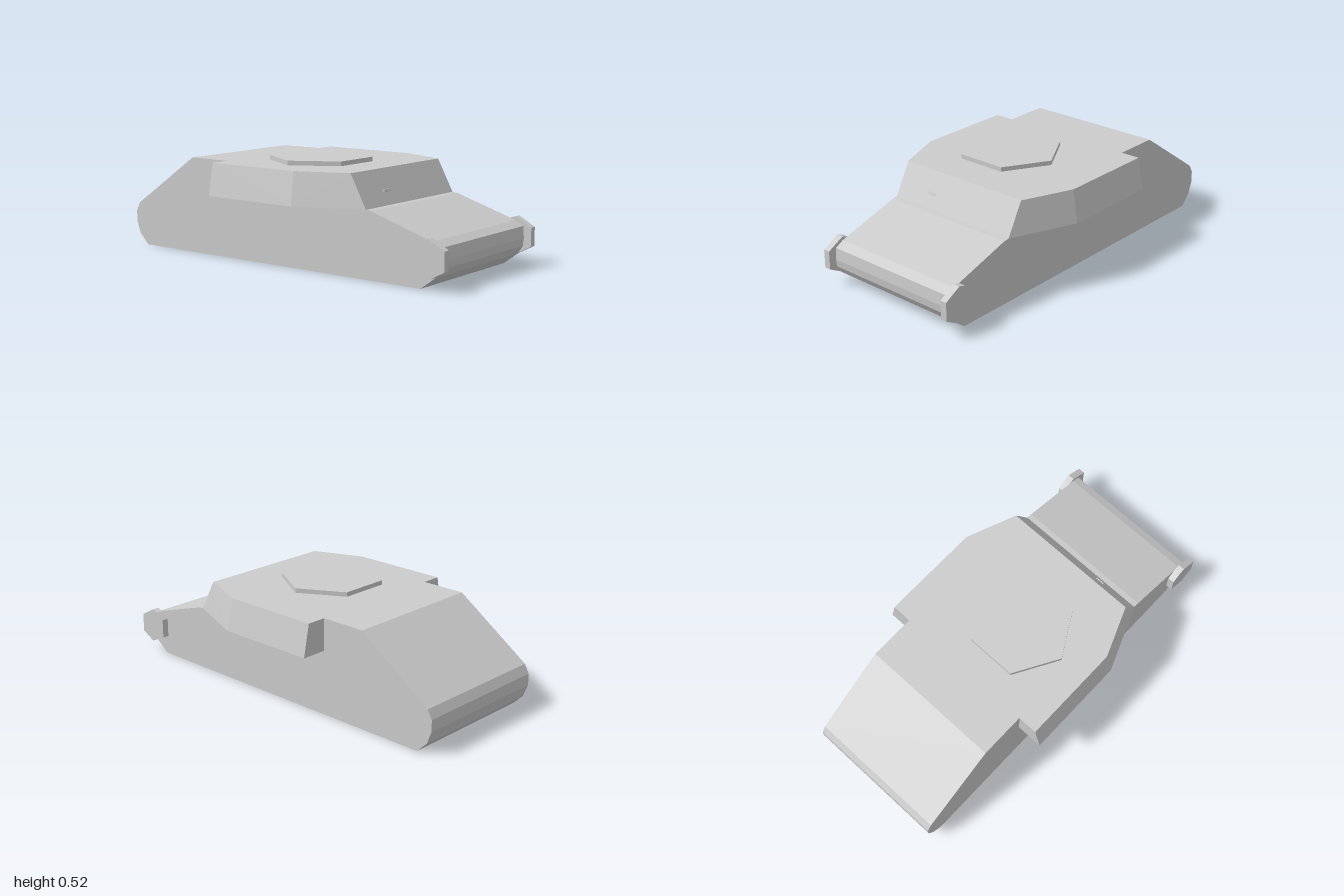
import * as THREE from 'three';
import { ConvexGeometry } from 'three/addons/geometries/ConvexGeometry.js';

const grey = new THREE.MeshStandardMaterial({ color: 0xcccccc, flatShading: true });

function part(name, geometry) {
  const mesh = new THREE.Mesh(geometry, grey);
  mesh.name = name;
  return mesh;
}

// Side profile (x, y) extruded between two z values
function slab(profile, z0, z1) {
  const shape = new THREE.Shape(profile.map(([x, y]) => new THREE.Vector2(x, y)));
  return new THREE.ExtrudeGeometry(shape, { depth: z1 - z0, bevelEnabled: false }).translate(0, 0, z0);
}

const convex = (points) => new ConvexGeometry(points.map((p) => new THREE.Vector3(...p)));

export function createModel() {
  const model = new THREE.Group();
  model.name = 'armouredHull';
  const half = 0.373, deck = 0.498, ledge = 0.333;

  // Hull with sloped rear deck, raised cabin and rounded nose
  model.add(part('hull', slab([
    [-0.92, 0], [0.85, 0], [0.93, 0.06], [0.955, 0.1], [0.96, 0.14], [0.955, 0.2], [0.91, 0.225],
    [0.57, 0.33], [0.54, ledge], [0.45, deck], [-0.575, deck], [-0.975, 0.225],
    [-1, 0.18], [-1, 0.12], [-0.975, 0.055],
  ], -half, half)));

  for (const side of [1, -1]) {
    const label = side > 0 ? 'left' : 'right';

    // Overhanging cabin side, tapering towards the nose
    const outline = (y, outer, bend, front) => [
      [-0.335, y, side * half], [-0.335, y, side * outer],
      [bend, y, side * outer], [front, y, side * half],
    ];
    model.add(part(label + 'Sponson', convex([
      ...outline(ledge, 0.51, 0.2, 0.54),
      ...outline(deck, 0.477, 0.19, 0.45),
    ])));

    // Drive housing at the nose
    const z = side > 0 ? half : -0.408;
    model.add(part(label + 'DriveHousing', slab([
      [0.835, 0.1], [0.925, 0.06], [1, 0.1], [1, 0.196], [0.912, 0.244], [0.875, 0.233], [0.835, 0.2],
    ], z, z + 0.408 - half)));
  }

  // Hexagonal turret base, set off to the left
  const ring = part('turretBase', new THREE.CylinderGeometry(0.264, 0.264, 0.03, 6));
  ring.position.set(0.025, 0.506, 0.06);
  model.add(ring);

  // Small vision slit on the sloping front plate
  model.add(part('visionSlit', convex([
    [0.5, 0.404, 0.132], [0.5, 0.404, 0.194], [0.507, 0.404, 0.145], [0.507, 0.404, 0.181],
    [0.507, 0.392, 0.132], [0.507, 0.392, 0.194], [0.512, 0.392, 0.145], [0.512, 0.392, 0.181],
  ])));

  return model;
}
